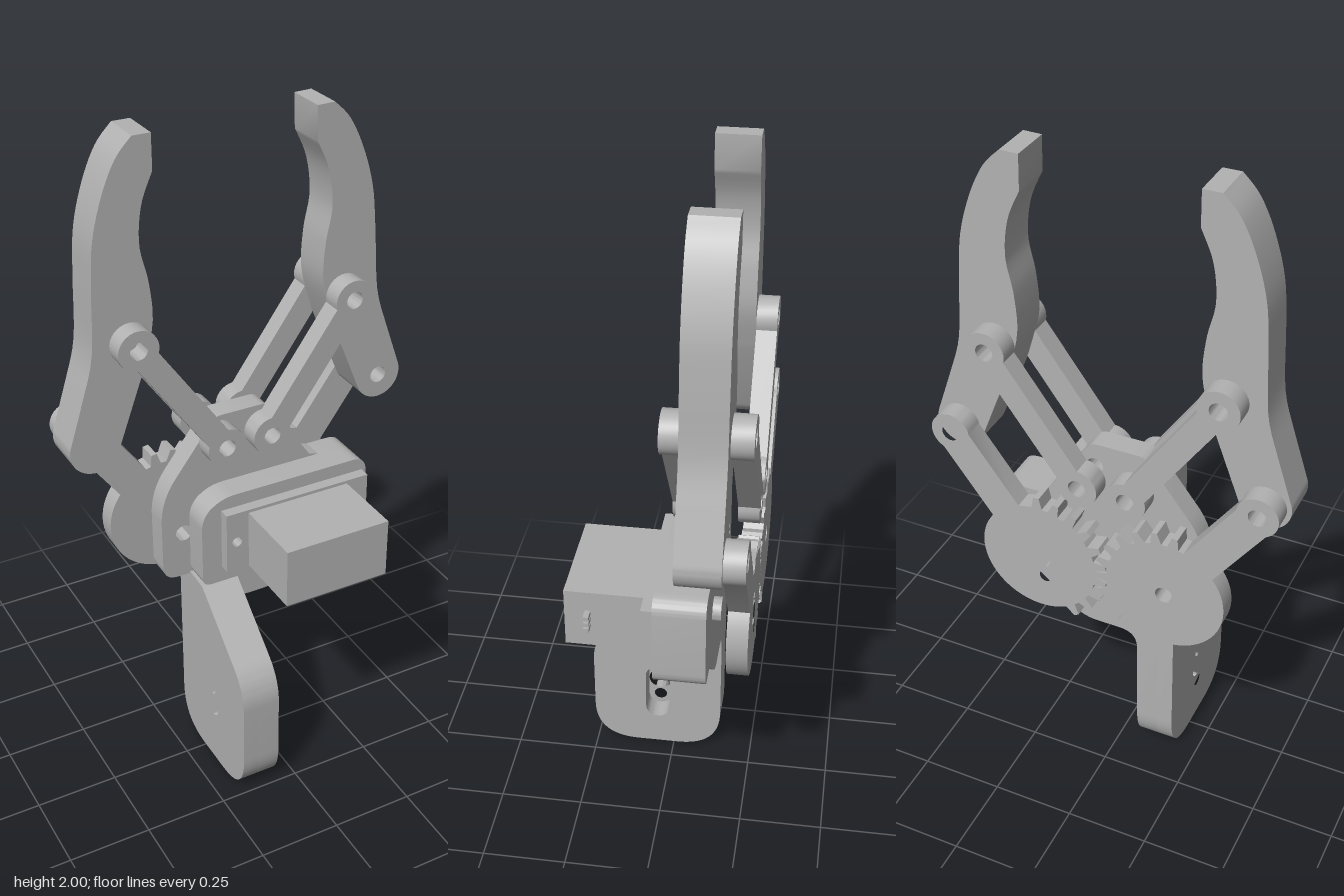
import * as THREE from 'three';
import { toCreasedNormals } from 'three/addons/utils/BufferGeometryUtils.js';

const grey = new THREE.MeshStandardMaterial({ color: 0xb2b2b2 });
grey.name = 'plain grey';
const V = (x, y) => new THREE.Vector2(x, y);

function add(parent, name, geometry) {
  const mesh = new THREE.Mesh(geometry, grey);
  mesh.name = name;
  parent.add(mesh);
  return mesh;
}

// Flat part cut from a shape, between two z positions, with round holes [x, y, r]
function slab(shape, z0, z1, holes = []) {
  for (const [x, y, r] of holes) {
    shape.holes.push(new THREE.Path().absarc(x, y, r, 0, Math.PI * 2, true));
  }
  const g = new THREE.ExtrudeGeometry(shape, { depth: z1 - z0, bevelEnabled: false, curveSegments: 16 });
  g.translate(0, 0, z0);
  return toCreasedNormals(g, 0.5);
}

// Polygon of [x, y, cornerRadius]
function rounded(points) {
  const shape = new THREE.Shape();
  points.forEach(([x, y, r = 0], i) => {
    const c = V(x, y);
    const towards = (j) => {
      const p = points[(j + points.length) % points.length];
      return V(p[0], p[1]).sub(c).normalize().multiplyScalar(r).add(c);
    };
    const a = towards(i - 1), b = towards(i + 1);
    if (i === 0) shape.moveTo(a.x, a.y); else shape.lineTo(a.x, a.y);
    if (r > 0) shape.quadraticCurveTo(x, y, b.x, b.y);
  });
  shape.closePath();
  return shape;
}

function arc(cx, cy, r, a0, a1, n = 24) {
  return Array.from({ length: n + 1 }, (_, i) => {
    const a = a0 + (a1 - a0) * i / n;
    return V(cx + r * Math.cos(a), cy + r * Math.sin(a));
  });
}

const PIN = 0.026, BOSS = 0.06;

// Bar with a round eye at each end
function linkGeometry(p, q, z0, z1) {
  const L = p.distanceTo(q), a = Math.asin(0.037 / BOSS);
  const shape = new THREE.Shape([
    ...arc(0, 0, BOSS, a, Math.PI * 2 - a),
    ...arc(L, 0, BOSS, a - Math.PI, Math.PI - a),
  ]);
  const g = slab(shape, z0, z1, [[0, 0, PIN], [L, 0, PIN]]);
  g.rotateZ(Math.atan2(q.y - p.y, q.x - p.x));
  g.translate(p.x, p.y, 0);
  return g;
}

// Partly toothed gear with an arm; drawn for the -x side, mirrored by side
function gearArmGeometry(side, arm, phase, lastTooth, holes) {
  const R = 0.18, tip = 0.215, w = 0.053, pitch = Math.PI * 2 / 22;
  const phi = Math.atan2(arm.y, -Math.abs(arm.x));
  const d = Math.asin(w / R), b = Math.PI - Math.asin(w / BOSS);
  const L = arm.length(), first = -4;
  const polar = (r, a) => V(r * Math.cos(a), r * Math.sin(a));
  const pts = arc(0, 0, R, phi + d, Math.PI * 2 + (first + phase - 0.5) * pitch, 30);
  for (let k = first; k <= lastTooth; k++) {
    const a = (k + phase) * pitch;
    pts.push(polar(R, a - 0.32 * pitch), polar(tip, a - 0.14 * pitch),
      polar(tip, a + 0.14 * pitch), polar(R, a + 0.32 * pitch));
  }
  pts.push(polar(R, phi - d));
  pts.push(...arc(L * Math.cos(phi), L * Math.sin(phi), BOSS, phi - b, phi + b));
  const shape = new THREE.Shape(pts.map((p) => V(-side * p.x, p.y)));
  return slab(shape, -0.265, -0.205, [[arm.x, arm.y, PIN], ...holes]);
}

// Curved gripping finger, relative to its lower pin, for the -x side
function fingerGeometry(side) {
  const inner = new THREE.SplineCurve([V(0.204, 0.767), V(0.169, 0.68), V(0.159, 0.572),
    V(0.181, 0.465), V(0.188, 0.345), V(0.156, 0.21)]).getPoints(24);
  const outer = new THREE.SplineCurve([V(-0.024, 0.167), V(0.008, 0.287), V(0.018, 0.477),
    V(0.029, 0.607), V(0.061, 0.724), V(0.103, 0.814), V(0.151, 0.867)]).getPoints(30);
  const pts = [V(0.204, 0.867), ...inner, ...arc(0, 0, 0.074, -0.37, -Math.PI - 0.37), ...outer];
  const shape = new THREE.Shape(pts.map((p) => V(-side * p.x, p.y)));
  return slab(shape, -0.205, -0.08, [[0, 0, PIN], [-side * 0.119, 0.3, PIN]]);
}

function buildJaw(side, cfg) {
  const jaw = new THREE.Group();
  jaw.name = side > 0 ? 'leftJaw' : 'rightJaw';

  const finger = add(jaw, 'finger', fingerGeometry(side));
  finger.position.set(cfg.pin.x, cfg.pin.y, 0);
  finger.rotation.z = cfg.tilt;

  add(jaw, 'frontLink', linkGeometry(cfg.link, cfg.upper, -0.085, -0.022));
  add(jaw, 'backLink', linkGeometry(cfg.link, cfg.upper, -0.265, -0.205));

  const arm = cfg.pin.clone().sub(cfg.gear);
  const gear = add(jaw, 'gearArm', gearArmGeometry(side, arm, cfg.phase, cfg.lastTooth, cfg.holes));
  gear.position.set(cfg.gear.x, cfg.gear.y, 0);
  return jaw;
}

function buildFrame() {
  const frame = new THREE.Group();
  frame.name = 'frame';

  // Flat carrier plate
  add(frame, 'plate', slab(rounded([
    [-0.09, 1.136, 0.02], [-0.27, 0.9, 0.08], [-0.27, 0.62, 0.05], [-0.18, 0.62],
    [-0.18, 0.38], [-0.065, 0.38], [-0.065, 0.475, 0.06], [0.115, 0.475, 0.05],
    [0.275, 0.62], [0.3, 0.9], [0.225, 0.92], [0.075, 1.136, 0.02],
  ]), -0.15, -0.082, [[-0.2, 0.77, PIN], [-0.082, 1.06, PIN], [0.064, 1.06, PIN]]));

  // Raised servo mount
  add(frame, 'servoMount', slab(rounded([
    [-0.18, 0.62, 0.03], [0.375, 0.62, 0.05], [0.375, 0.912, 0.05], [-0.12, 0.912, 0.05], [-0.18, 0.86, 0.04],
  ]), -0.15, 0));

  // Handle: outer layer with horn holes, inner layer with a slot
  const profile = () => rounded([
    [-0.15, 0.63], [0, 0.62], [0.258, 0.405, 0.08], [0.258, 0, 0.14], [-0.15, 0, 0.14],
  ]);
  const across = (g, x) => g.rotateY(-Math.PI / 2).translate(x, 0, 0);
  add(frame, 'handleOuter', across(slab(profile(), 0, 0.05,
    [[0.053, 0.208, 0.037], [0.053, 0.272, 0.02], [0.053, 0.144, 0.02]]), -0.133));
  const inner = profile();
  inner.holes.push(new THREE.Path([
    ...arc(0.053, 0.272, 0.038, 0, Math.PI, 12), ...arc(0.053, 0.144, 0.038, Math.PI, Math.PI * 2, 12),
  ]));
  add(frame, 'handleInner', across(slab(inner, 0, 0.068), -0.065));
  return frame;
}

function buildServo() {
  const servo = new THREE.Group();
  servo.name = 'servo';
  const box = (name, x0, x1, y0, y1, z0, z1) => add(servo, name,
    new THREE.BoxGeometry(x1 - x0, y1 - y0, z1 - z0)
      .translate((x0 + x1) / 2, (y0 + y1) / 2, (z0 + z1) / 2));

  box('servoBody', -0.045, 0.288, 0.675, 0.86, 0, 0.263);

  // Flange with a slotted screw hole at each end
  const flange = rounded([[-0.117, 0.673], [0.36, 0.673], [0.36, 0.87], [-0.117, 0.87]]);
  add(servo, 'flange', slab(flange, 0, 0.034, [[-0.083, 0.77, 0.016], [0.325, 0.77, 0.016]]));

  // Cable pins
  for (const y of [0.75, 0.77, 0.79]) box('cablePin', 0.28, 0.32, y - 0.007, y + 0.007, 0.188, 0.204);

  // Output shaft
  add(servo, 'shaft', toCreasedNormals(
    new THREE.CylinderGeometry(0.036, 0.036, 0.06, 28).rotateX(Math.PI / 2).translate(0.193, 0.77, -0.145), 0.5));
  return servo;
}

export function createModel() {
  const model = new THREE.Group();
  model.name = 'gripper';
  model.add(buildFrame(), buildServo());

  model.add(buildJaw(-1, {
    gear: V(-0.2, 0.77), pin: V(-0.461, 1.133), link: V(-0.082, 1.06), upper: V(-0.342, 1.433),
    tilt: 0, phase: 0, lastTooth: 6, holes: [[0, 0, PIN]],
  }));
  // Driven gear has extra screw holes for the servo horn
  model.add(buildJaw(1, {
    gear: V(0.193, 0.77), pin: V(0.456, 1.133), link: V(0.064, 1.06), upper: V(0.328, 1.43),
    tilt: 0.03, phase: 0.5, lastTooth: 5,
    holes: [[0, 0, 0.036], [0.02, 0.064, 0.02], [-0.02, -0.064, 0.02]],
  }));
  return model;
}
